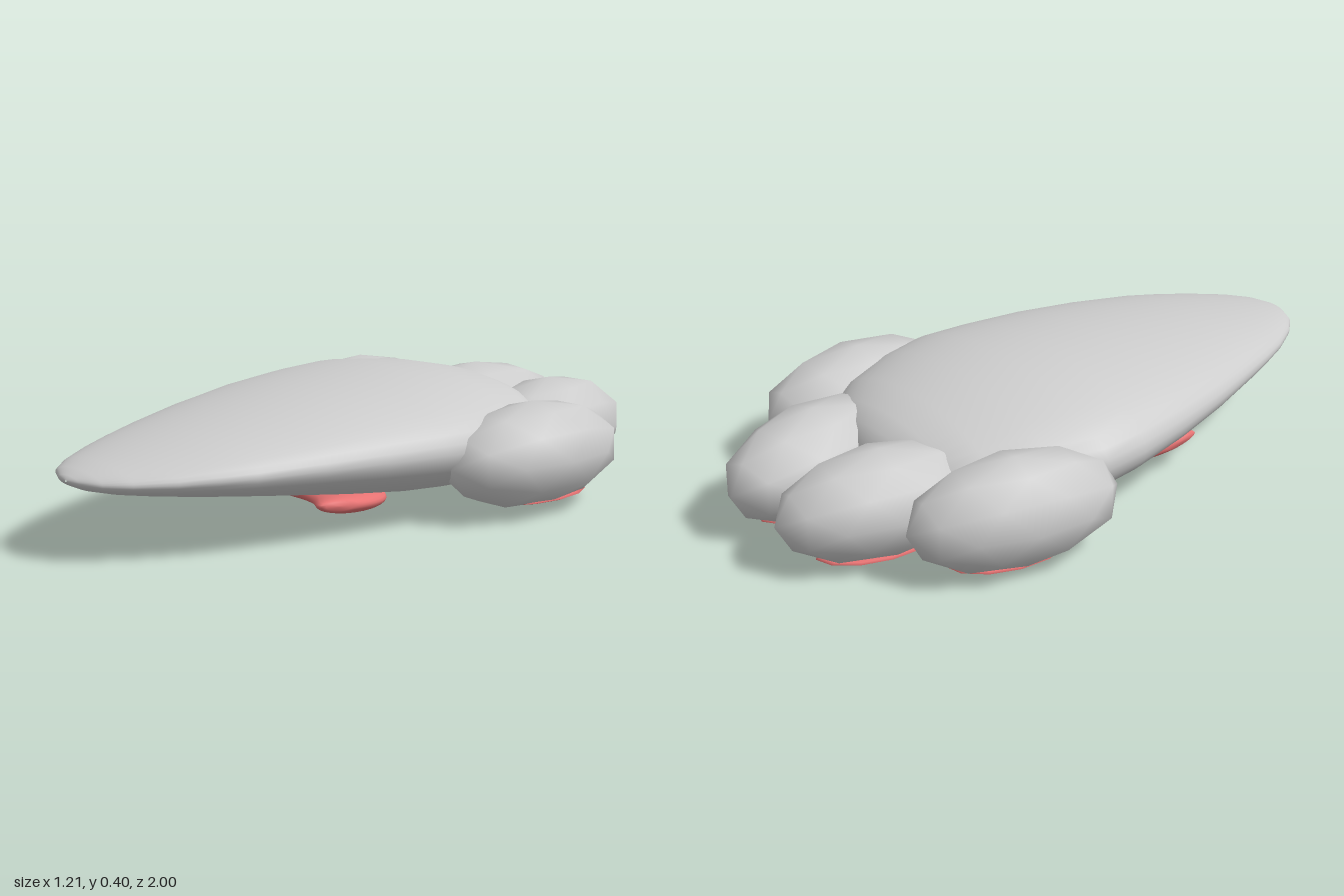
import * as THREE from 'three';

// Smooth closed skin over rings of points; every ring has the same count.
function skin(rings) {
  const n = rings[0].length, index = [];
  for (let i = 0; i < rings.length - 1; i++) {
    for (let j = 0; j < n; j++) {
      const a = i * n + j, b = i * n + (j + 1) % n;
      index.push(a, b, a + n, b, b + n, a + n);
    }
  }
  const geo = new THREE.BufferGeometry();
  geo.setAttribute('position', new THREE.Float32BufferAttribute(rings.flat(2), 3));
  geo.setIndex(index);
  geo.computeVertexNormals();
  return geo;
}

// Foot: ellipse sections from the toes (-z) to the narrow heel (+z).
function footGeometry() {
  // z, centre x, half width, top, bottom
  const rows = [
    [-0.63, 0, 0.004, 0.187, 0.183], [-0.62, 0, 0.1, 0.24, 0.125],
    [-0.59, 0, 0.21, 0.283, 0.085], [-0.54, 0, 0.3, 0.315, 0.056],
    [-0.45, 0, 0.37, 0.35, 0.038], [-0.3, -0.01, 0.437, 0.383, 0.03],
    [-0.15, -0.024, 0.482, 0.395, 0.032], [0.0, -0.02, 0.47, 0.39, 0.043],
    [0.2, -0.01, 0.437, 0.375, 0.07], [0.4, 0.002, 0.39, 0.35, 0.102],
    [0.6, 0.014, 0.327, 0.32, 0.133], [0.7, 0.015, 0.285, 0.303, 0.148],
    [0.8, 0.015, 0.237, 0.284, 0.163], [0.9, 0.013, 0.172, 0.265, 0.18],
    [0.96, 0.012, 0.115, 0.25, 0.195], [0.992, 0.01, 0.05, 0.237, 0.21],
    [1.0, 0.01, 0.004, 0.225, 0.221],
  ];
  const n = 40;
  return skin(rows.map(([z, cx, rx, top, bottom]) =>
    Array.from({ length: n }, (_, j) => {
      const a = (j / n) * Math.PI * 2;
      return [cx + rx * Math.cos(a), (top + bottom) / 2 + (top - bottom) / 2 * Math.sin(a), z];
    })));
}

// Main pad: a swollen crescent whose two lobes bend toward the heel.
function mainPadGeometry() {
  const n = 24, steps = 28, rings = [];
  for (let i = 0; i <= steps; i++) {
    const t = (i / steps) * Math.PI;
    const u = -Math.cos(t), r = Math.sqrt(Math.max(Math.sin(t), 0.0001));
    rings.push(Array.from({ length: n }, (_, j) => {
      const a = (j / n) * Math.PI * 2;
      const z = 0.06 + 0.23 * u * u + 0.155 * r * Math.cos(a);
      const y = 0.041 + 0.02 * u * u + 0.13 * (z - 0.06) - 0.037 * r * Math.sin(a);
      return [-0.007 + 0.318 * u, y, z];
    }));
  }
  return skin(rings);
}

// Toe: a faceted egg with a flattened underside.
function toeGeometry() {
  const geo = new THREE.IcosahedronGeometry(1, 1);
  const p = geo.attributes.position;
  for (let i = 0; i < p.count; i++) p.setY(i, Math.max(p.getY(i), -0.8));
  return geo;
}

export function createModel() {
  const group = new THREE.Group();
  const fur = new THREE.MeshStandardMaterial({ color: 0xcccccc });
  fur.name = 'grey fur';
  const padSkin = new THREE.MeshStandardMaterial({ color: 0xee7777 });
  padSkin.name = 'pink pad';

  const add = (name, geo, mat) => {
    const mesh = new THREE.Mesh(geo, mat);
    mesh.name = name;
    group.add(mesh);
    return mesh;
  };

  add('foot', footGeometry(), fur);
  add('mainPad', mainPadGeometry(), padSkin);

  // Four toes, each with a thin pad on its flat underside.
  const egg = toeGeometry();
  const disc = new THREE.SphereGeometry(1, 12, 8);
  const toes = [
    { name: 'outerLeftToe', at: [0.43, 0.167, -0.35], size: [0.173, 0.158, 0.33], yaw: 0.02,
      pad: [0.43, 0.042, -0.37], tilt: 0.02 },
    { name: 'innerLeftToe', at: [0.172, 0.153, -0.68], size: [0.175, 0.161, 0.322], yaw: 0.17,
      pad: [0.185, 0.021, -0.7], tilt: 0 },
    { name: 'innerRightToe', at: [-0.158, 0.153, -0.68], size: [0.172, 0.161, 0.322], yaw: -0.17,
      pad: [-0.155, 0.021, -0.7], tilt: -0.02 },
    { name: 'outerRightToe', at: [-0.437, 0.158, -0.435], size: [0.165, 0.167, 0.325], yaw: -0.2,
      pad: [-0.415, 0.024, -0.45], tilt: 0.04 },
  ];
  for (const { name, at, size, yaw, pad, tilt } of toes) {
    const toe = add(name, egg, fur);
    toe.position.set(...at);
    toe.scale.set(...size);
    toe.rotation.set(0, yaw, tilt);
    const toePad = add(name + 'Pad', disc, padSkin);
    toePad.position.set(...pad);
    toePad.scale.set(0.105, 0.009, 0.185);
    toePad.rotation.set(0, yaw, tilt);
  }
  return group;
}
